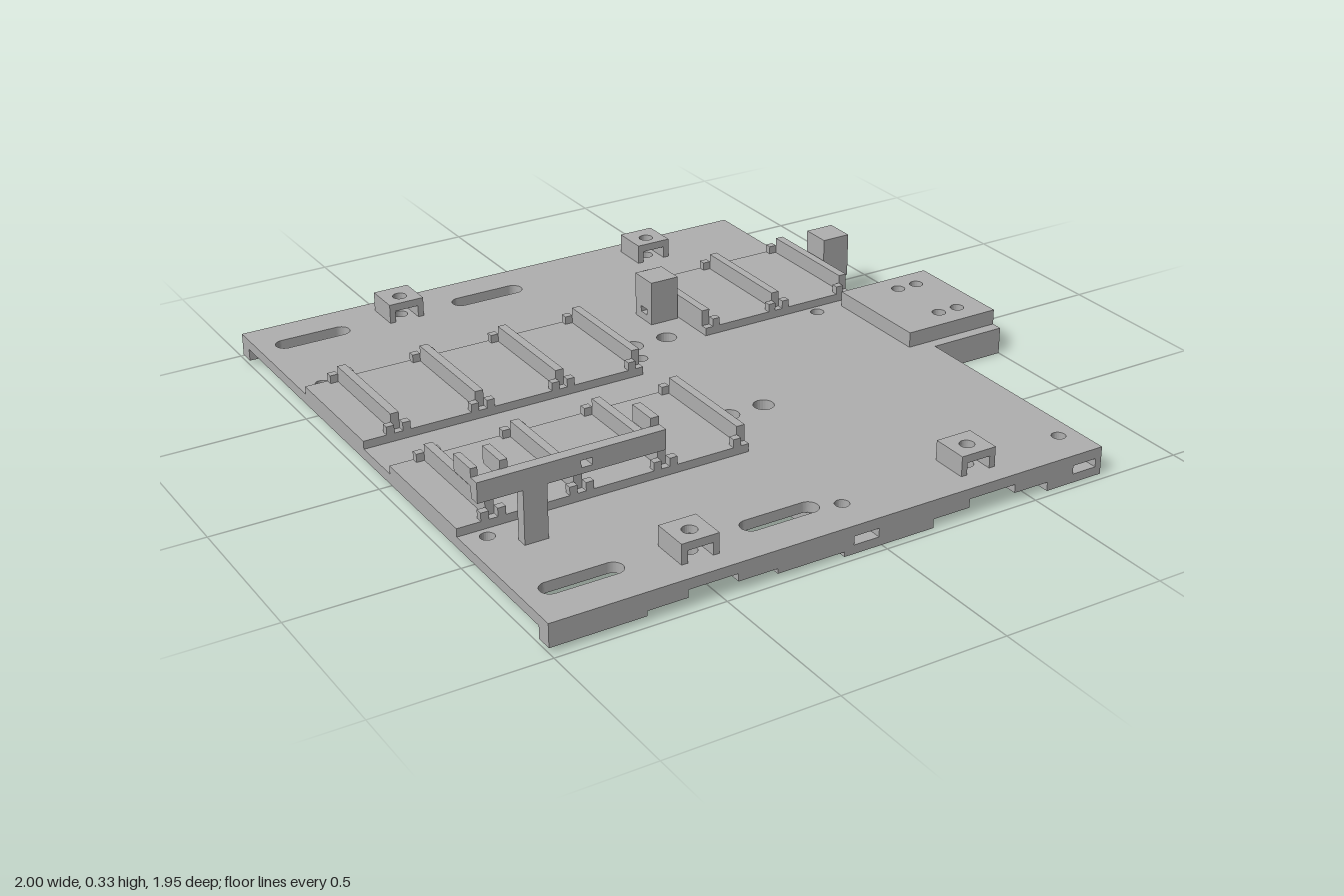
import * as THREE from 'three';

export function createModel() {
  const model = new THREE.Group();
  const grey = new THREE.MeshStandardMaterial({ color: 0xb0b0b0 });
  grey.name = 'plain grey';

  const add = (name, geometry, parent = model) => {
    const mesh = new THREE.Mesh(geometry, grey);
    mesh.name = name;
    parent.add(mesh);
    return mesh;
  };
  const group = (name) => {
    const g = new THREE.Group();
    g.name = name;
    model.add(g);
    return g;
  };
  // Box given by its limits on each axis
  const box = (name, x0, x1, y0, y1, z0, z1, parent) => {
    const g = new THREE.BoxGeometry(x1 - x0, y1 - y0, z1 - z0);
    g.translate((x0 + x1) / 2, (y0 + y1) / 2, (z0 + z1) / 2);
    return add(name, g, parent);
  };
  const rect = (x0, x1, y0, y1) => [[x0, y0], [x1, y0], [x1, y1], [x0, y1]];
  const toPath = (pts, Type = THREE.Path) => new Type(pts.map(([x, y]) => new THREE.Vector2(x, y)));
  const round = (x, z, r) => new THREE.Path().absarc(x, z, r, 0, Math.PI * 2, true);
  const slot = (x0, x1, z, r) => {
    const p = new THREE.Path();
    p.absarc(x1 - r, z, r, -Math.PI / 2, Math.PI / 2, false);
    p.absarc(x0 + r, z, r, Math.PI / 2, Math.PI * 1.5, false);
    p.closePath();
    return p;
  };
  const hexagon = (x, z, r) => toPath(Array.from({ length: 6 }, (_, i) =>
    [x + r * Math.cos(i * Math.PI / 3), z + r * Math.sin(i * Math.PI / 3)]));
  // Horizontal sheet from an outline in x and z
  const sheet = (name, outline, holes, y0, y1, parent) => {
    const s = toPath(outline, THREE.Shape);
    s.holes.push(...holes);
    const g = new THREE.ExtrudeGeometry(s, { depth: y1 - y0, bevelEnabled: false, curveSegments: 12 });
    g.rotateX(Math.PI / 2).translate(0, y1, 0);
    return add(name, g, parent);
  };

  const Z = 0.975, TOP = 0.085, MID = 0.053, LOW = 0.027;
  const postX = [-0.523, 0.367], postZ = 0.855;

  // Hole positions
  const nutHoles = [[-0.05, -0.185], [0.59, -0.185]];
  const frontHoles = [[-0.05, 0.86], [0.69, 0.86]];
  const edgeHoles = [[-0.93, -0.53], [-0.93, 0.52]];
  const tabHoles = [];
  for (const x of [0.845, 0.915]) for (const z of [-0.11, 0.1]) tabHoles.push([x, z]);
  const sunkHoles = [];
  for (const x of [-0.025, 0.093]) for (const z of [-0.272, 0.265]) sunkHoles.push([x, z]);
  const rounds = (list, r) => list.map(([x, z]) => round(x, z, r));

  // Board outline with the side tab; notches are [x0, x1, depth]
  const outline = (left, backNotches = [], frontNotches = []) => {
    const pts = [[left, -Z]];
    for (const [a, b, d] of backNotches) pts.push([a, -Z], [a, -Z + d], [b, -Z + d], [b, -Z]);
    pts.push([0.75, -Z], [0.75, -0.215], [1, -0.215], [1, 0.21], [0.75, 0.21], [0.75, Z]);
    for (const [a, b, d] of [...frontNotches].reverse()) pts.push([b, Z], [b, Z - d], [a, Z - d], [a, Z]);
    pts.push([left, Z]);
    return pts;
  };

  // Base board: top layer and two thicker layers on the right half
  const base = group('baseBoard');
  const slots = [];
  for (const z of [-0.838, 0.83]) slots.push(slot(-0.945, -0.705, z, 0.03), slot(-0.35, -0.108, z, 0.03));
  const posts = postX.flatMap((x) => [round(x, -postZ, 0.022), round(x, postZ, 0.022)]);
  sheet('topLayer', outline(-1), [
    ...slots, ...posts, ...rounds(sunkHoles, 0.031),
    ...rounds([...nutHoles, ...frontHoles, ...edgeHoles, ...tabHoles], 0.021),
  ], MID, TOP, base);

  const narrow = [0.29, 0.445, 0.195];
  sheet('middleLayer', outline(-0.12, [narrow], [[-0.09, -0.01, 0.155], narrow, [0.65, 0.73, 0.155]]),
    [...rounds(sunkHoles, 0.022), ...rounds([...nutHoles, ...tabHoles], 0.021)], LOW, MID, base);

  const wide = [0.17, 0.56, 0.18];
  sheet('bottomLayer', outline(-0.12, [wide], [wide]), [
    ...rounds(sunkHoles, 0.022), ...rounds([...frontHoles, ...tabHoles], 0.021),
    ...nutHoles.map(([x, z]) => hexagon(x, z, 0.045)),
  ], 0, LOW, base);

  // Stepped lips under the front and back edges of the left half
  for (const s of [-1, 1]) {
    const [z0, z1] = s > 0 ? [Z - 0.05, Z] : [-Z, -Z + 0.05];
    for (const [x0, x1, y0, y1] of [
      [-1, -0.6, 0.03, MID], [-0.45, -0.12, 0.03, MID],
      [-1, -0.72, 0.015, 0.03], [-0.33, -0.12, 0.015, 0.03],
    ]) box('edgeLip', x0, x1, y0, y1, z0, z1, base);
  }

  // Raised pad on the side tab
  sheet('tabPad', rect(0.68, 1, -0.183, 0.175), rounds(tabHoles, 0.021), TOP, 0.133);

  // Four arched mounting lugs
  for (const x of postX) for (const z of [-postZ - 0.008, postZ - 0.003]) {
    const lug = group('mountingLug');
    const r = 0.057;
    sheet('lugTop', rect(x - r, x + r, z - r, z + r), [round(x, z > 0 ? postZ : -postZ, 0.022)], 0.122, 0.146, lug);
    box('lugSide', x - r, x - 0.038, TOP, 0.122, z - r, z + r, lug);
    box('lugSide', x + 0.038, x + r, TOP, 0.122, z - r, z + r, lug);
  }

  // Holder trays: floor, cross walls and small blocks at the wall ends
  const tray = (x0, x1, z0, z1, walls) => {
    const g = group('holderTray');
    box('trayFloor', x0, x1, TOP, 0.11, z0, z1, g);
    for (const x of walls) {
      box('crossWall', x - 0.013, x + 0.013, 0.11, 0.16, z0 + 0.022, z1 - 0.022, g);
      const a = Math.max(x - 0.037, x0), b = Math.min(x + 0.037, x1);
      for (const [p, q] of [[a, x - 0.013], [x + 0.013, b]]) {
        if (q - p < 0.005) continue;
        box('endBlock', p, q, 0.11, 0.135, z0, z0 + 0.022, g);
        box('endBlock', p, q, 0.11, 0.135, z1 - 0.022, z1, g);
      }
    }
  };
  const leftWalls = [-0.892, -0.628, -0.368, -0.113];
  tray(-1, -0.1, -0.49, -0.088, leftWalls);
  tray(-1, -0.1, 0.08, 0.483, leftWalls);
  tray(0.2, 0.735, -0.62, -0.218, [0.213, 0.467, 0.722]);

  // Two upright posts, each with a small window through it
  for (const x of [0.1, 0.742]) {
    const s = toPath(rect(0.373, 0.468, TOP, 0.225), THREE.Shape);
    s.holes.push(toPath(rect(0.4, 0.435, 0.108, 0.127)));
    const g = new THREE.ExtrudeGeometry(s, { depth: 0.094, bevelEnabled: false });
    g.rotateY(Math.PI / 2).translate(x, 0, 0);
    add('uprightPost', g);
  }

  // Raised arm on a leg, with a window and three rearward fingers
  const arm = group('raisedArm');
  box('armLeg', -0.87, -0.8, TOP, 0.245, 0.578, 0.613, arm);
  const bar = toPath(rect(-1, -0.445, 0.245, 0.305), THREE.Shape);
  bar.holes.push(toPath(rect(-0.7, -0.667, 0.263, 0.284)));
  add('armBar', new THREE.ExtrudeGeometry(bar, { depth: 0.035, bevelEnabled: false }).translate(0, 0, 0.578), arm);
  for (const [x0, x1] of [[-1, -0.98], [-0.917, -0.895], [-0.472, -0.447]]) {
    box('armFinger', x0, x1, 0.28, 0.33, 0.485, 0.58, arm);
  }

  return model;
}
